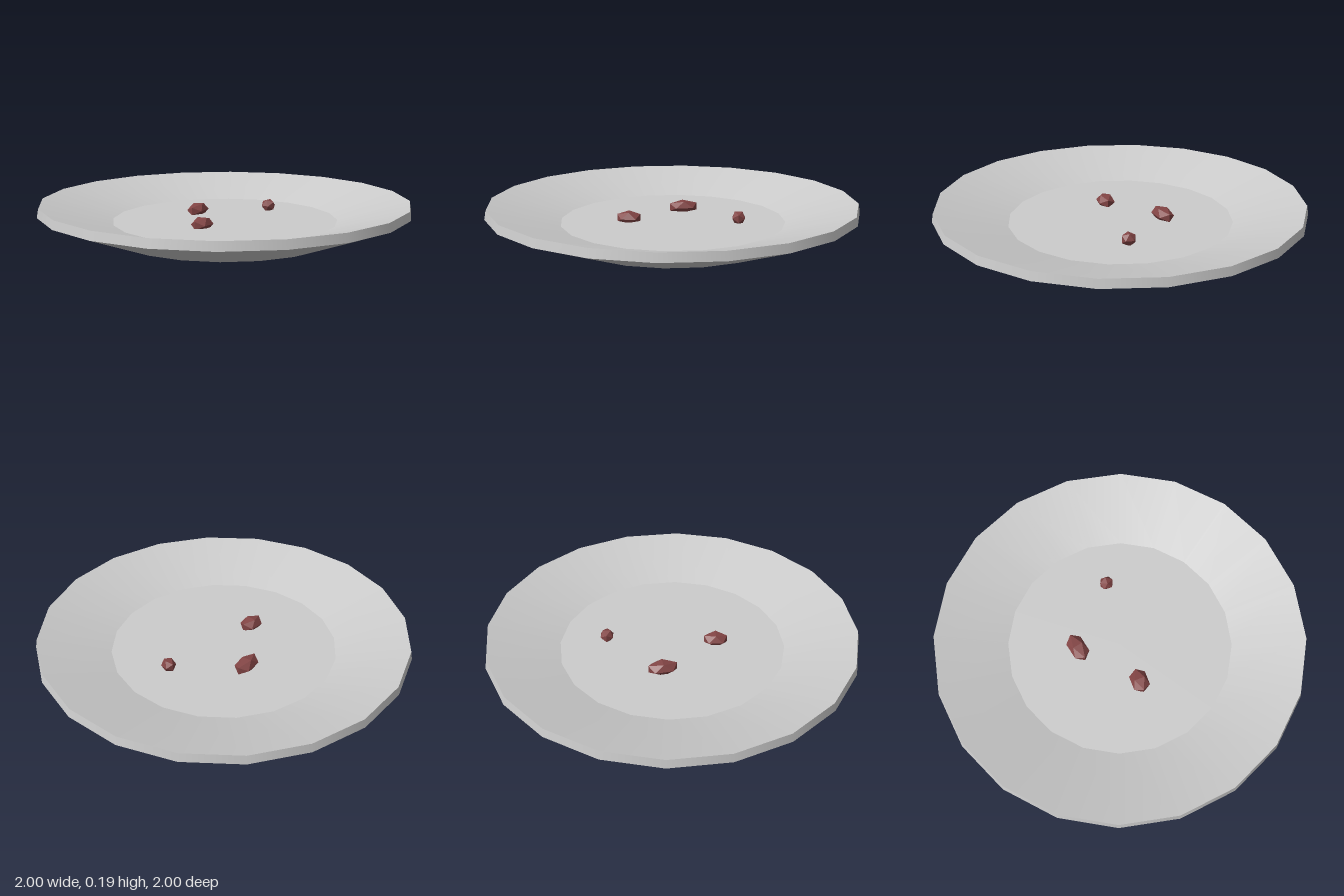
import * as THREE from 'three';

const SIDES = 20;

export function createModel() {
  const model = new THREE.Group();
  const grey = new THREE.MeshStandardMaterial({ color: 0xcccccc });
  const red = new THREE.MeshStandardMaterial({ color: 0x834545, flatShading: true });

  // Plate: one lathe per band, so every band is smooth and the edges between stay sharp
  const plate = new THREE.Group();
  plate.name = 'plate';
  model.add(plate);
  const profile = [[0, 0], [0.607, 0], [1, 0.147], [0.992, 0.193], [0.607, 0.086], [0, 0.086]];
  const bands = ['underside', 'outerSlope', 'rim', 'innerSlope', 'floor'];
  bands.forEach((name, i) => {
    const points = [profile[i], profile[i + 1]].map(([r, y]) => new THREE.Vector2(r, y));
    const band = new THREE.Mesh(new THREE.LatheGeometry(points, SIDES), grey);
    band.name = name;
    plate.add(band);
  });

  // Crumbs: stretched icosahedra resting slightly sunk into the floor
  const addCrumb = (name, position, scale, spin, turn) => {
    const geometry = new THREE.IcosahedronGeometry(1, 0).rotateY(turn);
    const crumb = new THREE.Mesh(geometry, red);
    crumb.name = name;
    crumb.position.set(...position);
    crumb.scale.set(...scale);
    crumb.rotation.y = spin;
    model.add(crumb);
  };
  addCrumb('rightCrumb', [-0.235, 0.102, 0.035], [0.073, 0.04, 0.053], 0.05, Math.PI / 2);
  addCrumb('backCrumb', [0.043, 0.106, -0.225], [0.09, 0.04, 0.052], 0.25, Math.PI / 2);
  addCrumb('leftCrumb', [0.356, 0.113, 0.035], [0.039, 0.039, 0.042], 0, 0);

  return model;
}
